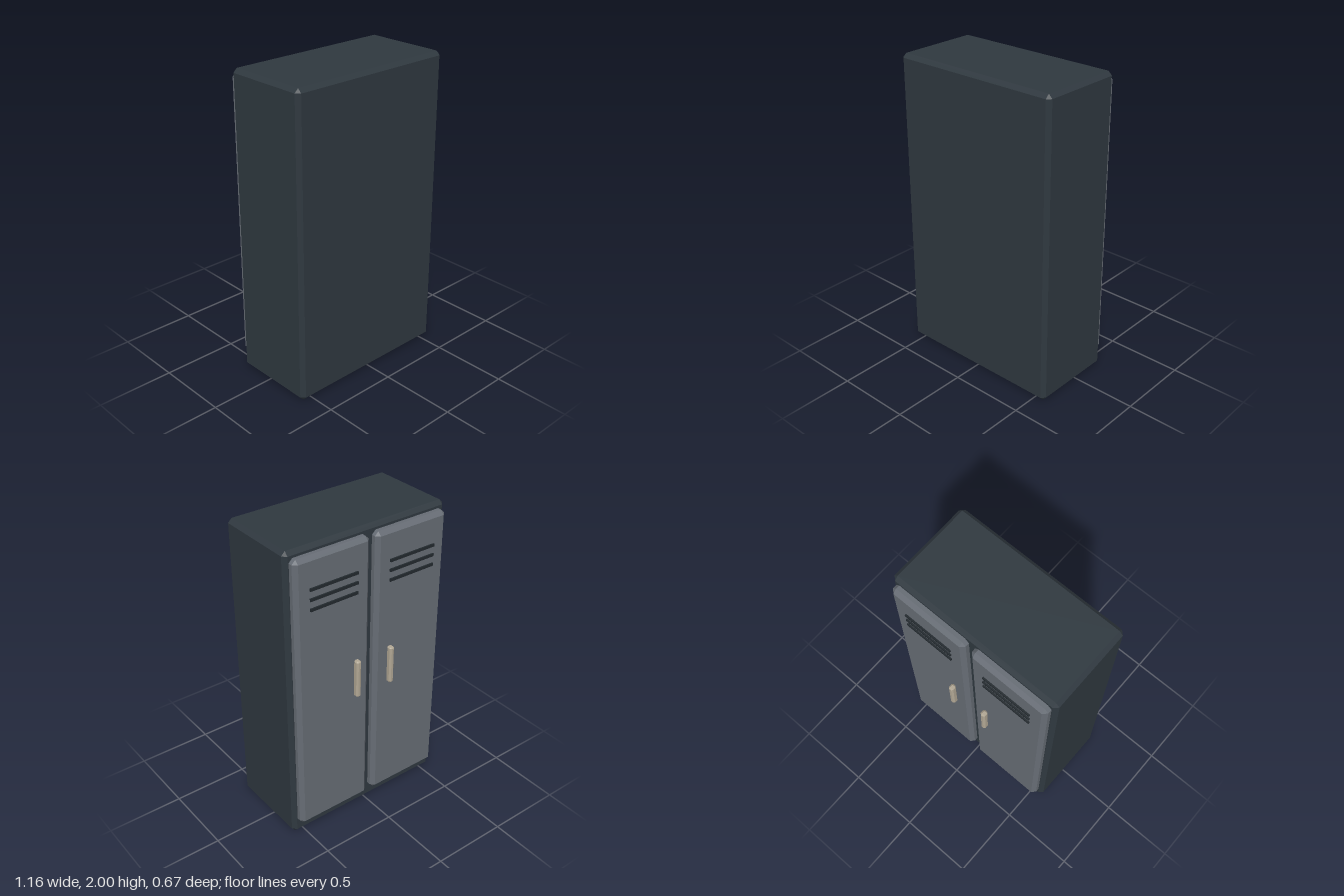
import * as THREE from 'three';
import { ConvexGeometry } from 'three/addons/geometries/ConvexGeometry.js';

// Box with every edge and corner cut by a flat chamfer b
function chamferBox(w, h, d, b) {
  const pts = [];
  for (const sx of [-1, 1]) for (const sy of [-1, 1]) for (const sz of [-1, 1]) {
    const x = w / 2, y = h / 2, z = d / 2;
    pts.push(
      new THREE.Vector3(sx * x, sy * (y - b), sz * (z - b)),
      new THREE.Vector3(sx * (x - b), sy * y, sz * (z - b)),
      new THREE.Vector3(sx * (x - b), sy * (y - b), sz * z),
    );
  }
  return new ConvexGeometry(pts);
}

const paint = (color) => new THREE.MeshStandardMaterial({ color, flatShading: true });

export function createModel() {
  const model = new THREE.Group();
  model.name = 'locker';
  const bodyMat = paint(0x2f383f);
  const doorMat = paint(0x666c74);
  const slotMat = paint(0x22292e);
  const handleMat = paint(0xb0a693);

  const add = (parent, name, geometry, material, x, y, z) => {
    const mesh = new THREE.Mesh(geometry, material);
    mesh.name = name;
    mesh.position.set(x, y, z);
    parent.add(mesh);
  };

  // Cabinet body
  add(model, 'cabinetBody', chamferBox(1.156, 2, 0.576, 0.025), bodyMat, 0, 1, 0.043);

  // Two doors on the -z side, each with vent slats and a handle near the middle
  const doorGeo = chamferBox(0.526, 1.87, 0.095, 0.025);
  const slatGeo = new THREE.BoxGeometry(0.334, 0.018, 0.02);
  const handleGeo = chamferBox(0.035, 0.26, 0.041, 0.01);
  for (const side of [1, -1]) {
    const door = new THREE.Group();
    door.name = side > 0 ? 'leftDoor' : 'rightDoor';
    add(door, 'doorPanel', doorGeo, doorMat, side * 0.285, 1.025, -0.2485);
    for (let i = 0; i < 3; i++) {
      add(door, 'ventSlat', slatGeo, slotMat, side * 0.285, 1.638 + i * 0.0635, -0.296);
    }
    add(door, 'handle', handleGeo, handleMat, side * 0.128, 1.06, -0.316);
    model.add(door);
  }
  return model;
}
